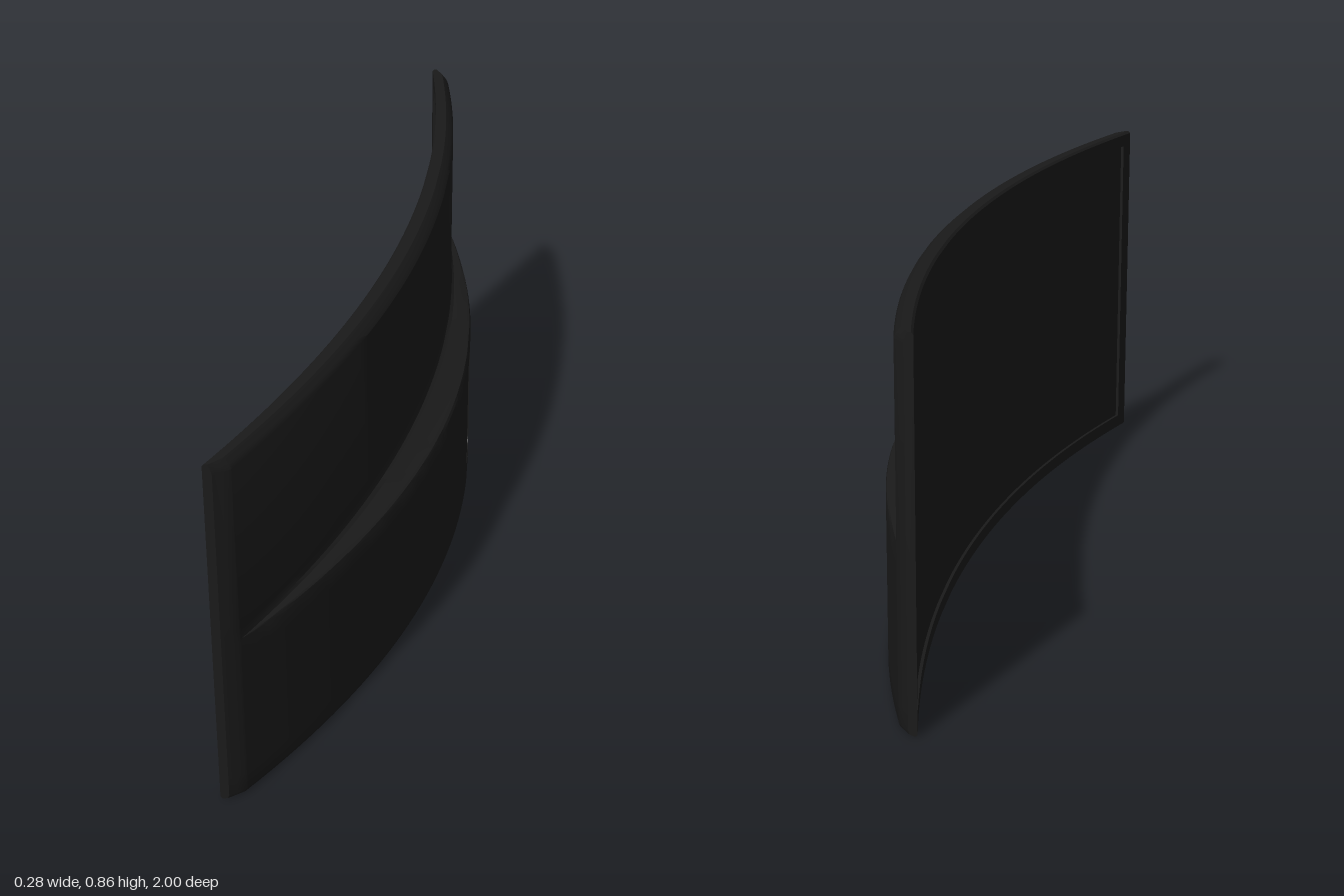
import * as THREE from 'three';
import { toCreasedNormals } from 'three/addons/utils/BufferGeometryUtils.js';

const H = 0.856, RIM = 0.036, RECESS = 0.007, INNER = 0.965;
const PORT = { z0: -0.42, z1: -0.3, y0: 0.055, y1: 0.36, depth: 0.025 };

// Curves of the concave screen side, the upper back and the thicker lower back
const front = z => 0.01 - 0.15 * z * z;
const back = (z, crown, bend) => {
  const a = Math.abs(z);
  return a > 0.97 ? -0.09 - (a - 0.97) : crown - bend * z * z;
};
const upper = z => back(z, 0.063, 0.163);
const lower = z => Math.max(upper(z), back(z, 0.14, 0.245));

// Side profile of the housing at depth z, anticlockwise from the lower screen edge
function profile(z, recess) {
  const F = front(z), U = upper(z), L = lower(z), w = L - U;
  const c = Math.min(0.022, 0.4 * (U - F));
  return [
    [F + 0.005, 0], [L - 0.012, 0.001], [L - 0.003, 0.004], [L, 0.012],
    [L, PORT.y0], [L, PORT.y1], [L, 0.4], [L - 0.05 * w, 0.407],
    [L - 0.17 * w, 0.41], [U + 0.2 * w, 0.413], [U + 0.06 * w, 0.419], [U, 0.435],
    [U, 0.832], [U - c * 0.3, 0.843], [U - c, H], [F + 0.005, H], [F, H - 0.005],
    [F, H - RIM], [F + recess, H - RIM], [F + recess, RIM], [F, RIM], [F, 0.005],
  ].map(([x, y]) => new THREE.Vector3(x, y, z));
}

// Skin through a row of cross-sections, with optional gaps and end caps
function loft(sections, { closed = false, skip = () => false, caps = false } = {}) {
  const pos = [];
  const tri = (...v) => v.forEach(p => pos.push(p.x, p.y, p.z));
  const n = sections[0].length;
  for (let i = 0; i < sections.length - 1; i++) {
    for (let j = 0; j < (closed ? n : n - 1); j++) {
      if (skip(i, j)) continue;
      const k = (j + 1) % n, A = sections[i], B = sections[i + 1];
      tri(A[j], A[k], B[k]);
      tri(A[j], B[k], B[j]);
    }
  }
  if (caps) {
    [sections[0], sections[sections.length - 1]].forEach((s, end) => {
      const mid = s.reduce((m, p) => m.add(p), new THREE.Vector3()).divideScalar(n);
      s.forEach((p, j) => {
        const q = s[(j + 1) % n];
        if (end) tri(mid, p, q); else tri(mid, q, p);
      });
    });
  }
  const g = new THREE.BufferGeometry();
  g.setAttribute('position', new THREE.Float32BufferAttribute(pos, 3));
  return toCreasedNormals(g, 0.5);
}

// Depth positions, with lines at both sides of the port
function columns() {
  const zs = [PORT.z0, PORT.z1];
  for (let i = 0; i <= 48; i++) {
    const z = INNER * (i / 24 - 1);
    if (z < PORT.z0 - 0.005 || z > PORT.z1 + 0.005) zs.push(z);
  }
  return zs.sort((a, b) => a - b);
}

function roundedRect(target, x0, y0, x1, y1, r) {
  target.moveTo(x0 + r, y0);
  target.lineTo(x1 - r, y0).quadraticCurveTo(x1, y0, x1, y0 + r);
  target.lineTo(x1, y1 - r).quadraticCurveTo(x1, y1, x1 - r, y1);
  target.lineTo(x0 + r, y1).quadraticCurveTo(x0, y1, x0, y1 - r);
  target.lineTo(x0, y0 + r).quadraticCurveTo(x0, y0, x0 + r, y0);
  return target;
}

// Wraps flat geometry (x = -z, y, depth) onto the lower back
function wrapOnBack(g) {
  const p = g.attributes.position;
  for (let i = 0; i < p.count; i++) {
    const z = -p.getX(i);
    p.setXYZ(i, lower(z) - PORT.depth + p.getZ(i), p.getY(i), z);
  }
  g.computeVertexNormals();
  return g;
}

export function createModel() {
  const group = new THREE.Group();
  const dark = new THREE.MeshStandardMaterial({ color: 0x1a1a1a });
  const grey = new THREE.MeshStandardMaterial({ color: 0x2b2b2b });
  const add = (name, geometry, material) => {
    const mesh = new THREE.Mesh(geometry, material);
    mesh.name = name;
    group.add(mesh);
  };
  const zs = columns();

  // Housing: flush rims at both ends, recessed screen bed between them
  const stations = [
    [-1, 0], [-0.985, 0], [-0.97, 0], [-INNER, 0],
    ...zs.map(z => [z, RECESS]),
    [INNER, 0], [0.97, 0], [0.985, 0], [1, 0],
  ];
  add('housing', loft(stations.map(([z, r]) => profile(z, r)), {
    closed: true, caps: true,
    // leave out the screen bed and the port opening
    skip: (i, j) => (j === 18 && stations[i][1] > 0 && stations[i + 1][1] > 0)
      || (j === 4 && stations[i][0] === PORT.z0),
  }), dark);

  // Curved screen panel
  add('screen', loft(zs.map(z => [H - RIM, RIM].map(
    y => new THREE.Vector3(front(z) + RECESS, y, z)))), dark);

  // Port surround with a rounded opening, and the floor of its pocket
  const box = [-PORT.z1, PORT.y0, -PORT.z0, PORT.y1];
  const surround = roundedRect(new THREE.Shape(), ...box, 0);
  surround.holes.push(roundedRect(new THREE.Path(), ...box.map((v, i) => v + (i < 2 ? 0.001 : -0.001)), 0.022));
  add('portSurround', wrapOnBack(new THREE.ExtrudeGeometry(surround,
    { depth: PORT.depth, bevelEnabled: false, curveSegments: 6 })), dark);
  add('portFloor', wrapOnBack(new THREE.ShapeGeometry(
    roundedRect(new THREE.Shape(), ...box, 0.015), 6).translate(0, 0, 0.002)), grey);

  return group;
}
